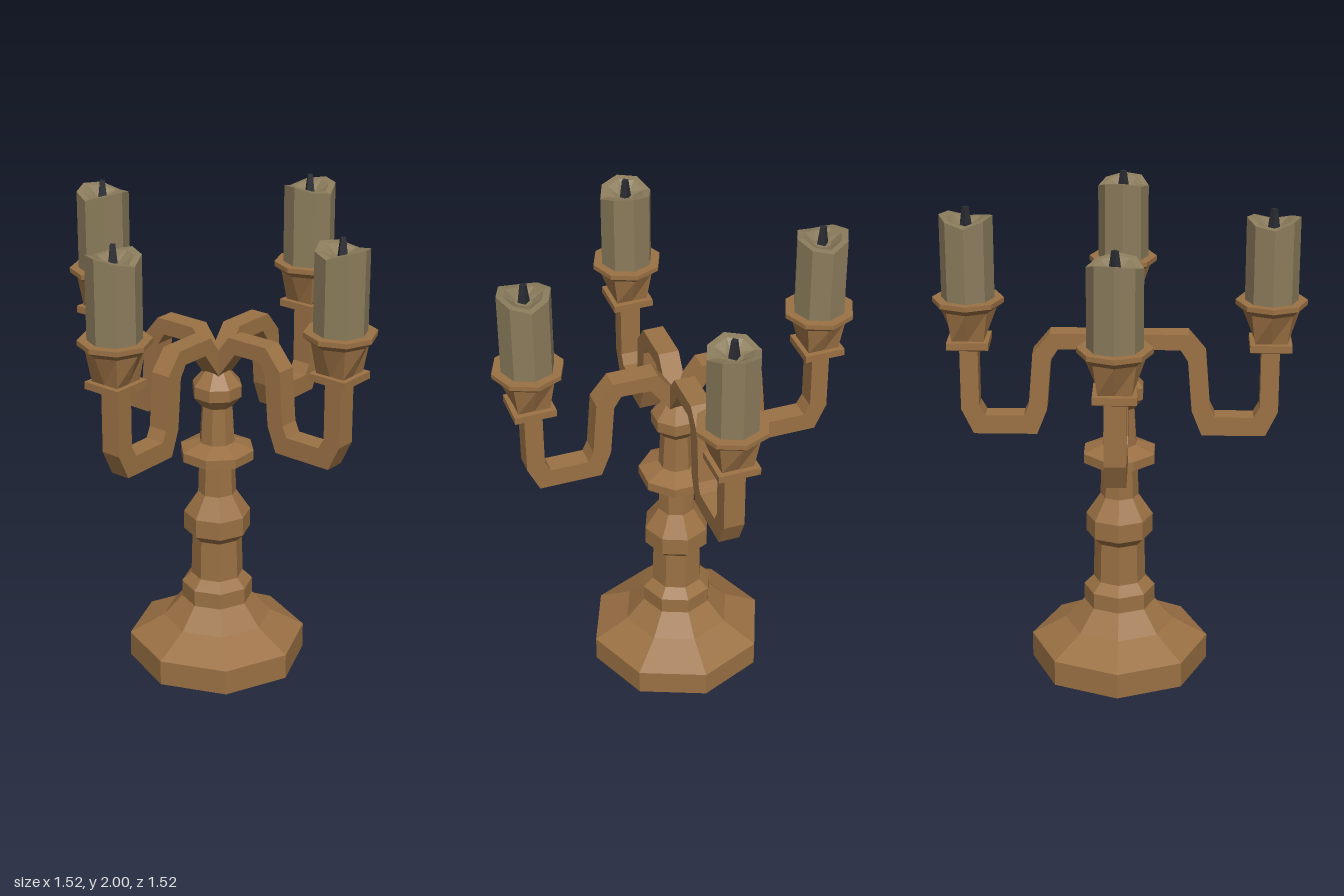
import * as THREE from 'three';

const mat = (color) => new THREE.MeshStandardMaterial({ color, flatShading: true });

// Faceted skin through closed rings of points, capped at both ends
function loft(name, rings, material) {
  const pos = [];
  const tri = (...pts) => pts.forEach((p) => pos.push(p.x, p.y, p.z));
  const n = rings[0].length;
  const middle = (ring) => ring.reduce((s, p) => s.add(p), new THREE.Vector3()).divideScalar(n);
  const first = rings[0], last = rings[rings.length - 1];
  const c0 = middle(first), c1 = middle(last);
  for (let i = 0; i < n; i++) {
    const j = (i + 1) % n;
    for (let k = 0; k < rings.length - 1; k++) {
      const lo = rings[k], hi = rings[k + 1];
      tri(lo[i], lo[j], hi[j]);
      tri(lo[i], hi[j], hi[i]);
    }
    tri(c0, first[j], first[i]);
    tri(c1, last[i], last[j]);
  }
  const geo = new THREE.BufferGeometry();
  geo.setAttribute('position', new THREE.Float32BufferAttribute(pos, 3));
  geo.computeVertexNormals();
  const mesh = new THREE.Mesh(geo, material);
  mesh.name = name;
  return mesh;
}

// Eight-point ring; a square ring has its corners on the diagonals
function ring(r, y, { square = false, turn = 0, heights = null, amount = 1 } = {}) {
  return Array.from({ length: 8 }, (_, i) => {
    const a = (i * Math.PI) / 4 + turn;
    const k = square && i % 2 ? r * Math.SQRT2 : r;
    const h = heights ? heights[i] * amount : 0;
    return new THREE.Vector3(k * Math.cos(a), y + h, -k * Math.sin(a));
  });
}

// Rectangular bar with mitred bends along a path of [x, y, half thickness]
function bar(name, path, halfWidth, material) {
  const pts = path.map(([x, y]) => new THREE.Vector2(x, y));
  const dir = (i) => pts[i + 1].clone().sub(pts[i]).normalize();
  const rings = pts.map((p, i) => {
    const a = dir(Math.max(i - 1, 0)), b = dir(Math.min(i, pts.length - 2));
    const t = a.clone().add(b).normalize();
    const h = path[i][2] / t.dot(a);
    const nx = -t.y * h, ny = t.x * h;
    return [[1, -1], [1, 1], [-1, 1], [-1, -1]].map(
      ([s, w]) => new THREE.Vector3(p.x + s * nx, p.y + s * ny, w * halfWidth));
  });
  return loft(name, rings, material);
}

export function createModel() {
  const model = new THREE.Group();
  model.name = 'candelabrum';
  const brass = mat(0x9b7144), wax = mat(0x8b7c5c), black = mat(0x2a2d33);

  // Base and lower stem
  const lower = [[0.375, 0], [0.375, 0.11], [0.23, 0.19], [0.15, 0.28], [0.15, 0.35], [0.11, 0.39],
    [0.105, 0.565], [0.14, 0.6], [0.14, 0.68], [0.08, 0.77], [0.075, 0.93]];
  model.add(loft('baseAndStem', lower.map(([r, y]) => ring(r, y)), brass));

  // Collar, upper stem and knob, turned half a side
  const upper = [[0.075, 0.9], [0.158, 0.93], [0.158, 0.97], [0.075, 1.0], [0.066, 1.16],
    [0.105, 1.205], [0.105, 1.255], [0.05, 1.32]];
  model.add(loft('upperStem', upper.map(([r, y]) => ring(r, y, { turn: Math.PI / 8 })), brass));

  // Four equal arms, each with cup, candle and wick
  const armPath = [[0, 1.306, 0.033], [0.11, 1.4525, 0.033], [0.265, 1.4525, 0.033], [0.316, 1.385, 0.038],
    [0.334, 1.165, 0.038], [0.365, 1.09, 0.04], [0.575, 1.09, 0.04], [0.6125, 1.165, 0.0375], [0.6125, 1.43, 0.0375]];
  const cup = [[0.05, 1.41, true], [0.085, 1.425, true], [0.085, 1.455, true], [0.065, 1.456, true],
    [0.115, 1.58], [0.146, 1.605], [0.146, 1.625], [0.1, 1.625]];
  const drips = [0.02, 0.005, -0.015, 0.01, 0.018, 0.0, -0.012, 0.015];
  for (let i = 0; i < 4; i++) {
    const arm = new THREE.Group();
    arm.name = 'arm' + (i + 1);
    arm.add(bar('curvedArm', armPath, 0.043, brass));

    const holder = new THREE.Group();
    holder.name = 'candleHolder';
    holder.position.x = 0.6125;
    holder.add(loft('cup', cup.map(([r, y, square]) => ring(r, y, { square })), brass));
    holder.add(loft('candle', [
      ring(0.108, 1.61),
      ring(0.108, 1.948, { heights: drips }),
      ring(0.08, 1.948, { heights: drips, amount: 0.7 }),
      ring(0.035, 1.925),
    ], wax));
    const wick = new THREE.Mesh(new THREE.CylinderGeometry(0.014, 0.026, 0.09, 4), black);
    wick.name = 'wick';
    wick.position.y = 1.955;
    holder.add(wick);
    arm.add(holder);

    arm.rotation.y = (i * Math.PI) / 2;
    model.add(arm);
  }
  return model;
}
